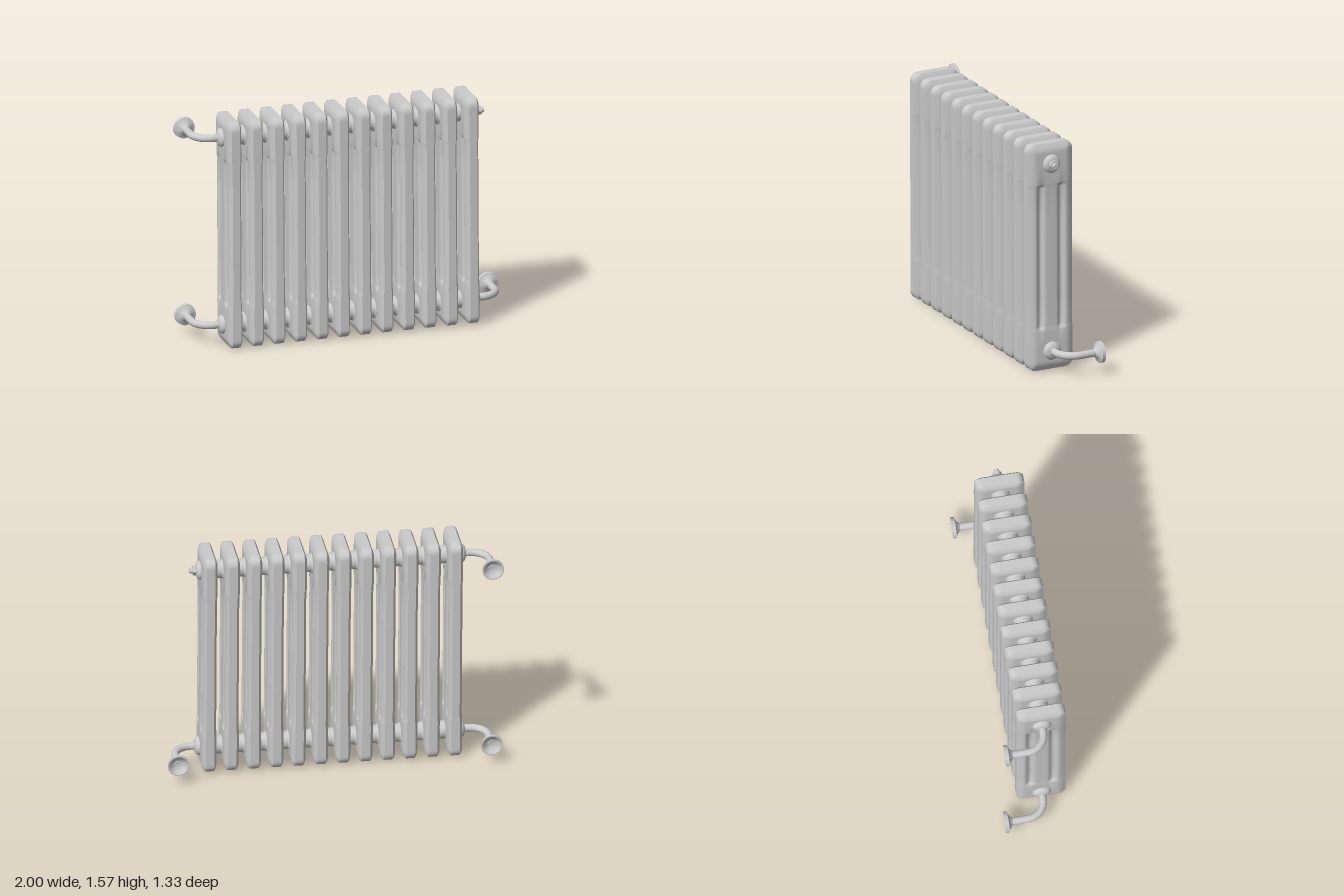
import * as THREE from 'three';
import { toCreasedNormals } from 'three/addons/utils/BufferGeometryUtils.js';

const COUNT = 12, PITCH = 0.1475;
const BOTTOM = 0.008, TOP = 1.567;
const HALF_DEPTH = 0.163, CORNER = 0.055;
const LOW_Y = 0.14, HIGH_Y = 1.43;
const END_X = PITCH * (COUNT - 1) / 2 + 0.046; // outer face of the end sections

const mat = new THREE.MeshStandardMaterial({ color: 0xcccccc });
const openMat = new THREE.MeshStandardMaterial({ color: 0xcccccc, side: THREE.DoubleSide });

function add(parent, name, geometry, material = mat) {
  const mesh = new THREE.Mesh(geometry, material);
  mesh.name = name;
  parent.add(mesh);
  return mesh;
}

// Half thickness of a section: bevelled rim, thinner columns with grooves between them
function halfThickness(z, y, halfLength) {
  const endDist = Math.min(y - BOTTOM, TOP - y);
  const edge = d => 0.028 + 0.022 * Math.sin(Math.min(d / 0.06, 1) * Math.PI / 2);
  const rim = Math.min(edge(halfLength - Math.abs(z)), edge(endDist));
  const inColumns = THREE.MathUtils.smoothstep(endDist, 0.27, 0.305);
  const k = Math.min(Math.abs(Math.abs(z) - 0.075) / 0.036, 1);
  const groove = 0.019 * Math.cos(k * Math.PI / 2) ** 2;
  return rim - inColumns * (groove + 0.003);
}

// One section, lofted upwards from horizontal loops
function sectionGeometry() {
  const steps = [0, 0.005, 0.014, 0.028, 0.042, 0.055, 0.065, 0.15, 0.27, 0.279, 0.288, 0.297, 0.306, 0.5];
  const rows = [...steps.map(d => BOTTOM + d), ...steps.map(d => TOP - d).reverse()];
  const SIDE = 37, n = SIDE * 2;
  const pos = [], index = [];
  for (const y of rows) {
    const d = Math.min(y - BOTTOM, TOP - y, CORNER);
    const half = HALF_DEPTH - CORNER + Math.sqrt(CORNER ** 2 - (CORNER - d) ** 2);
    for (let i = 0; i < n; i++) {
      const front = i < SIDE;
      const k = front ? i : n - 1 - i;
      const z = half * (2 * k / (SIDE - 1) - 1);
      pos.push((front ? 1 : -1) * halfThickness(z, y, half), y, z);
    }
  }
  for (let j = 0; j < rows.length - 1; j++) {
    for (let i = 0; i < n; i++) {
      const a = j * n + i, b = j * n + (i + 1) % n;
      index.push(a, a + n, b, b, a + n, b + n);
    }
  }
  const last = (rows.length - 1) * n;
  for (let i = 0; i < SIDE - 1; i++) {
    const p = i, p2 = i + 1, q = n - 1 - i, q2 = n - 2 - i;
    index.push(p, p2, q, p2, q2, q);
    index.push(last + p, last + q, last + p2, last + p2, last + q, last + q2);
  }
  const g = new THREE.BufferGeometry();
  g.setAttribute('position', new THREE.Float32BufferAttribute(pos, 3));
  g.setIndex(index);
  return toCreasedNormals(g, 0.6);
}

// Turned part; profile points are [radius, distance along the axis]
function turned(profile, segments = 32) {
  const points = profile.map(([r, h]) => new THREE.Vector2(r, h));
  return toCreasedNormals(new THREE.LatheGeometry(points, segments), 0.6);
}

// Elbow pipe from an end section back to the wall, with its collar and wall cup
function wallPipe(side, y) {
  const g = new THREE.Group();
  g.name = 'wallPipe';
  const wallX = 1.035, bend = 0.12;
  const path = new THREE.CurvePath();
  const v = (x, z) => new THREE.Vector3(side * x, y, z);
  path.add(new THREE.LineCurve3(v(END_X - 0.01, 0), v(wallX - bend, 0)));
  path.add(new THREE.CubicBezierCurve3(
    v(wallX - bend, 0), v(wallX - bend * 0.45, 0), v(wallX, -bend * 0.45), v(wallX, -bend)));
  path.add(new THREE.LineCurve3(v(wallX, -bend), v(wallX, -0.255)));
  add(g, 'pipe', new THREE.TubeGeometry(path, 48, 0.025, 20, false));

  const collar = add(g, 'pipeCollar', turned(
    [[0.062, -0.01], [0.062, 0.012], [0.054, 0.024], [0.04, 0.032], [0.024, 0.036]]));
  collar.position.set(side * END_X, y, 0);
  collar.rotation.z = -side * Math.PI / 2;

  // Hollow dish, open towards the wall
  const cup = add(g, 'wallCup', turned(
    [[0.024, -0.045], [0.032, -0.034], [0.05, -0.02], [0.07, -0.014], [0.072, 0.008],
      [0.064, 0.008], [0.045, -0.008], [0.026, -0.02], [0, -0.02]].reverse()), openMat);
  cup.position.set(side * wallX, y, -0.265);
  cup.rotation.x = -Math.PI / 2;
  return g;
}

// Closing plug with a hexagonal nut and vent pin
function ventPlug() {
  const g = new THREE.Group();
  g.name = 'ventPlug';
  add(g, 'plugFlange', turned(
    [[0.062, -0.01], [0.062, 0.012], [0.054, 0.024], [0.036, 0.032], [0, 0.032]]));
  const nut = add(g, 'plugNut', toCreasedNormals(new THREE.CylinderGeometry(0.032, 0.032, 0.022, 6), 0.5));
  nut.position.y = 0.042;
  const pin = add(g, 'ventPin', new THREE.CylinderGeometry(0.018, 0.02, 0.024, 20));
  pin.position.y = 0.062;
  g.position.set(END_X, HIGH_Y, 0);
  g.rotation.z = -Math.PI / 2;
  return g;
}

export function createModel() {
  const model = new THREE.Group();
  model.name = 'radiator';
  const body = new THREE.Group();
  body.name = 'radiatorBody';
  model.add(body);

  // Row of sections
  const section = sectionGeometry();
  for (let i = 0; i < COUNT; i++) {
    add(body, 'section', section).position.x = (i - (COUNT - 1) / 2) * PITCH;
  }

  // Upper and lower header tubes, with a hub at every section
  const tube = new THREE.CylinderGeometry(0.06, 0.06, PITCH * (COUNT - 1), 28);
  const hub = turned([[0.058, -0.062], [0.067, -0.052], [0.067, 0.052], [0.058, 0.062]], 28);
  for (const y of [LOW_Y, HIGH_Y]) {
    const header = add(body, 'headerTube', tube);
    header.position.y = y;
    header.rotation.z = Math.PI / 2;
    for (let i = 1; i < COUNT - 1; i++) {
      const h = add(body, 'headerHub', hub);
      h.position.set((i - (COUNT - 1) / 2) * PITCH, y, 0);
      h.rotation.z = Math.PI / 2;
    }
  }

  // End fittings
  body.add(wallPipe(-1, LOW_Y), wallPipe(-1, HIGH_Y), wallPipe(1, LOW_Y), ventPlug());

  // The radiator stands turned, with a very slight lean
  body.position.set(-0.105, 0, 0.1075);
  body.rotation.set(0, THREE.MathUtils.degToRad(-28.9), 0.006);
  return model;
}
